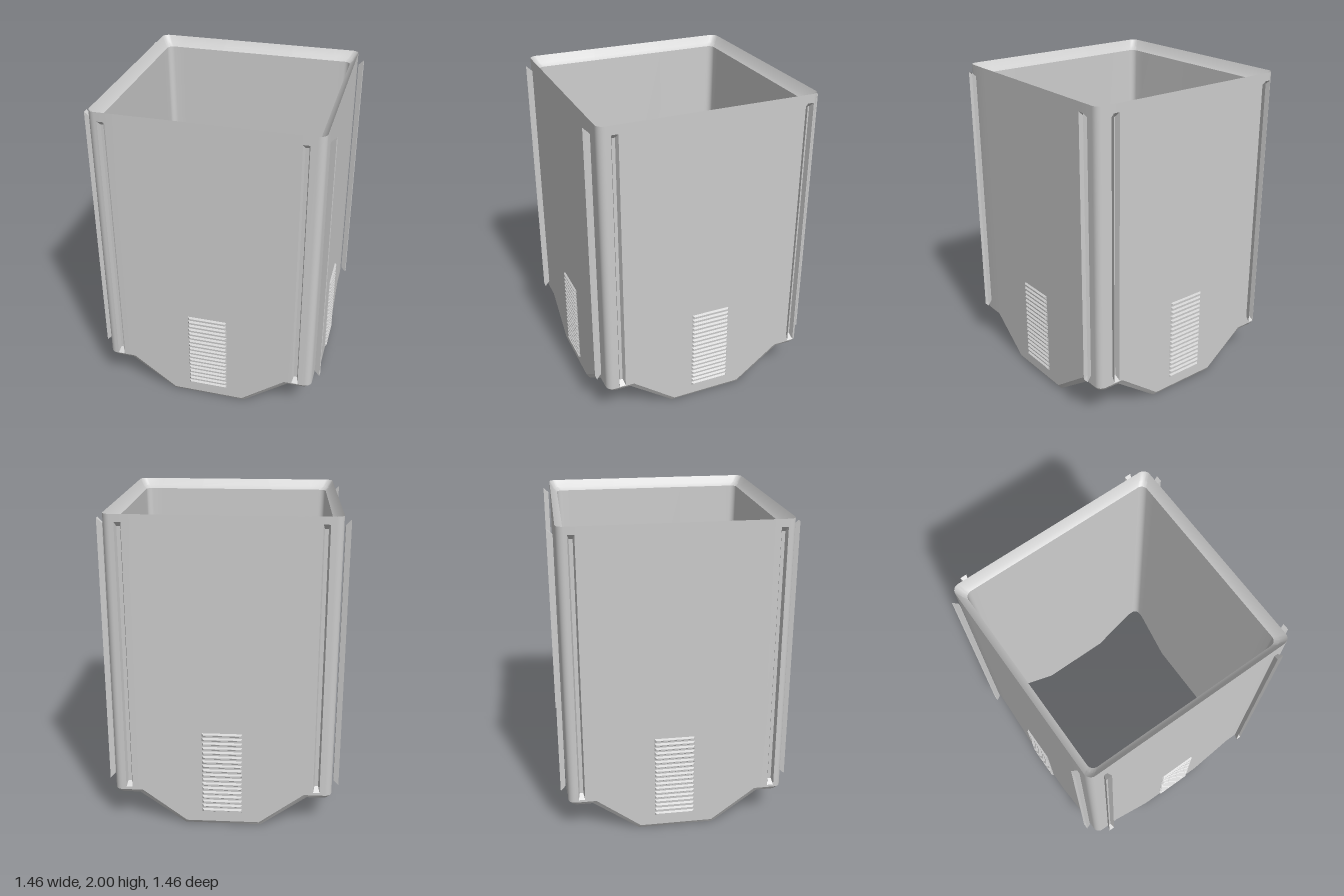
import * as THREE from 'three';
import { toCreasedNormals } from 'three/addons/utils/BufferGeometryUtils.js';

const material = new THREE.MeshStandardMaterial({ color: 0xcccccc });
const openMaterial = new THREE.MeshStandardMaterial({ color: 0xcccccc, side: THREE.DoubleSide });

// One closed ring around the square tube: four sides with rounded corners.
// half = half width, r = corner radius, level = height of a point from its scallop height
function ring(half, r, level, inset = 0) {
  const side = [[-0.53 + inset, 0.21], [-0.24 + inset / 2, 0], [0.24 - inset / 2, 0], [0.53 - inset, 0.21]]
    .map(([x, b]) => [x, b, half]);
  for (let i = 0; i <= 6; i++) {
    const a = (i / 6) * Math.PI / 2;
    side.push([half - r + r * Math.sin(a), 0.21, half - r + r * Math.cos(a)]);
  }
  const points = [];
  for (let k = 0; k < 4; k++) {
    for (const [x, b, z] of side) {
      points.push(new THREE.Vector3(x, level(b), z).applyAxisAngle(new THREE.Vector3(0, 1, 0), k * Math.PI / 2));
    }
  }
  return points;
}

// Joins the rings into a closed wall
function loft(rings) {
  const n = rings[0].length, m = rings.length, index = [];
  for (let j = 0; j < m; j++) {
    for (let i = 0; i < n; i++) {
      const k = (i + 1) % n, l = (j + 1) % m;
      const a = j * n + i, b = j * n + k, c = l * n + k, d = l * n + i;
      index.push(a, b, c, a, c, d);
    }
  }
  const g = new THREE.BufferGeometry().setFromPoints(rings.flat());
  g.setIndex(index);
  return toCreasedNormals(g, 0.4);
}

// Box whose outer (+z) face grows (or shrinks) by growX and growY on its edges
function taperedBox(w, h, d, growX, growY) {
  const g = new THREE.BoxGeometry(w, h, d);
  const p = g.attributes.position;
  for (let i = 0; i < p.count; i++) {
    if (p.getZ(i) > 0) {
      p.setX(i, p.getX(i) + Math.sign(p.getX(i)) * growX);
      p.setY(i, p.getY(i) + Math.sign(p.getY(i)) * growY);
    }
  }
  g.computeVertexNormals();
  return g;
}

// Open channel: the tapered box without its outer face, turned inside out
function channel(w, h, d, growX, growY) {
  const g = taperedBox(w, h, d, growX, growY);
  const index = [...g.index.array];
  index.splice(24, 6);
  g.setIndex(index.reverse());
  g.computeVertexNormals();
  return g;
}

export function createModel() {
  const model = new THREE.Group();
  const add = (parent, name, geometry, mat, x = 0, y = 0, z = 0) => {
    const mesh = new THREE.Mesh(geometry, mat);
    mesh.name = name;
    mesh.position.set(x, y, z);
    parent.add(mesh);
  };

  // Square sleeve: scalloped lower edge with a chamfer, bevelled rim, tapering bore
  add(model, 'sleeve', loft([
    ring(0.686, 0.045, b => b + 0.025, 0.02),
    ring(0.686, 0.045, () => 2, 0.02),
    ring(0.66, 0.04, () => 1.955),
    ring(0.638, 0.04, () => 1.935),
    ring(0.605, 0.04, b => b),
    ring(0.668, 0.04, b => b),
  ]), material);

  // Each face carries two long channels and a vent of horizontal slats
  const channelGeometry = channel(0.022, 1.625, 0.032, 0.009, 0.03);
  const slatGeometry = taperedBox(0.252, 0.022, 0.012, -0.01, -0.008);
  for (let k = 0; k < 4; k++) {
    const face = new THREE.Group();
    face.name = ['front', 'left', 'back', 'right'][k] + 'Face';
    face.rotation.y = k * Math.PI / 2;
    const spread = k % 2 ? 0.602 : 0.586;
    for (const s of [-1, 1]) add(face, 'sideChannel', channelGeometry, openMaterial, s * spread, 1.121, 0.713);
    const shift = [0.003, 0.014, -0.003, -0.014][k];
    for (let i = 0; i < 18; i++) add(face, 'ventSlat', slatGeometry, material, shift, 0.11 + i * 0.0311, 0.699);
    model.add(face);
  }
  model.position.z = -0.003;
  return model;
}
